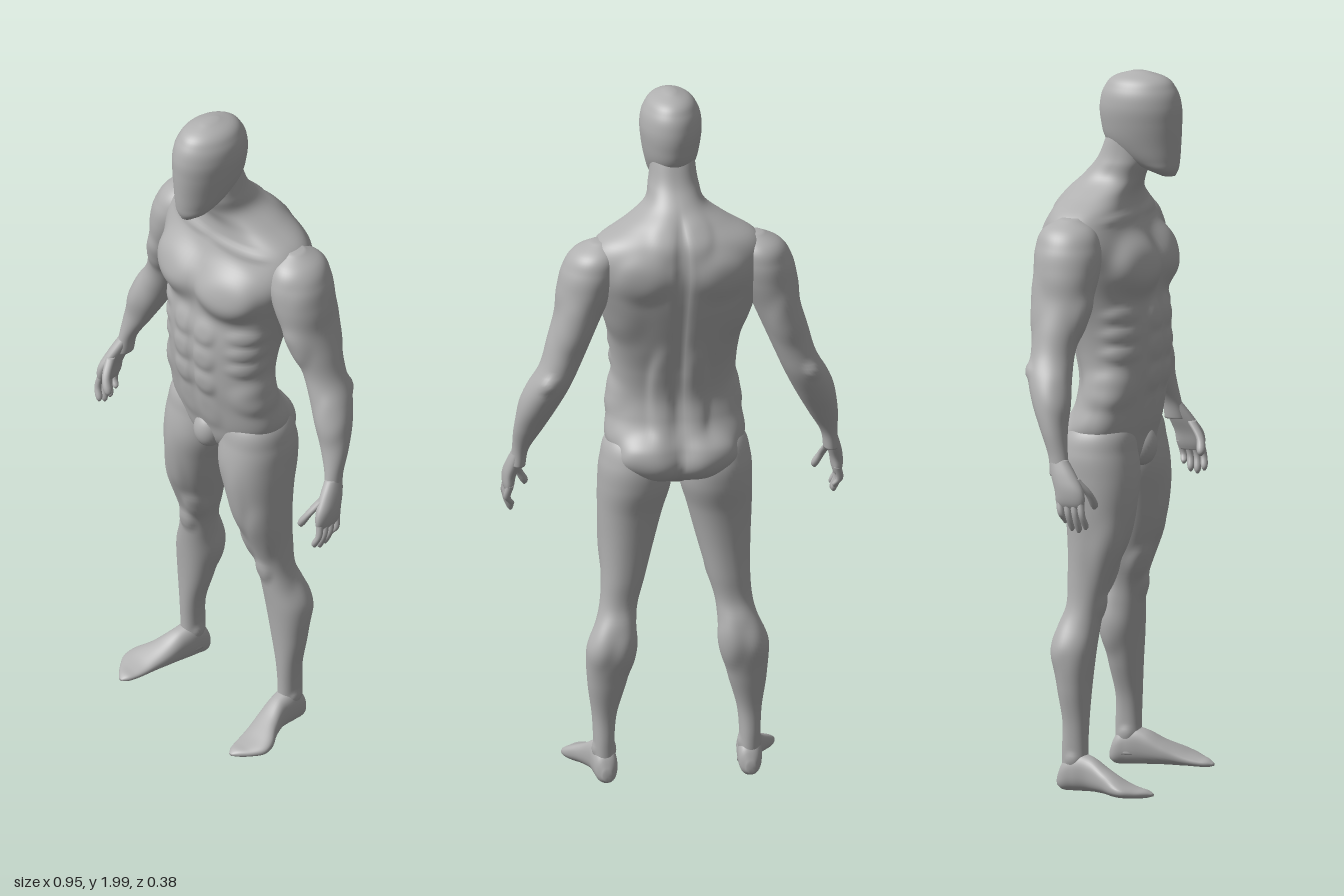
import * as THREE from 'three';

const skin = new THREE.MeshStandardMaterial({ color: 0xb0b0b0 });
skin.name = 'plainGrey';

// Smooth skin over cross-sections [y, xCentre, halfWidth, zFront, zBack], listed upwards.
// n squares the outline; bumps [x, y, z, rx, ry, rz, height] swell or dent it, on both sides of x = 0.
function loft(sections, { n = 2, rows = 40, cols = 40, bumps = [] } = {}) {
  const ys = sections.map(s => s[0]);
  const curve = new THREE.CubicInterpolant(ys, sections.flatMap(s => s.slice(1)), 4, new Float32Array(4));
  const y0 = ys[0], y1 = ys[ys.length - 1], pos = [], index = [];
  const ends = [];
  for (let i = 0; i <= rows; i++) {
    const u = i / rows;
    // Rows crowd gently towards both ends
    const t = 0.5 * u + 0.25 * (1 - Math.cos(Math.PI * u));
    const y = y0 + (y1 - y0) * t;
    const [xc, hw, zf, zb] = curve.evaluate(y);
    const zc = (zf + zb) / 2, w = Math.max(hw, 0.002), d = Math.max((zf - zb) / 2, 0.002);
    if (i === 0 || i === rows) ends.push([xc, y, zc]);
    for (let j = 0; j < cols; j++) {
      const a = (j / cols) * Math.PI * 2, c = Math.cos(a), s = Math.sin(a);
      const dx = w * Math.sign(c) * Math.abs(c) ** (2 / n);
      const dz = d * Math.sign(s) * Math.abs(s) ** (2 / n);
      const x = xc + dx, z = zc + dz, len = Math.hypot(dx, dz) || 1;
      let h = 0;
      for (const [bx, by, bz, rx, ry, rz, amount] of bumps) {
        const q = ((Math.abs(x) - bx) / rx) ** 2 + ((y - by) / ry) ** 2 + ((z - bz) / rz) ** 2;
        h += amount * Math.exp(-q * q);
      }
      pos.push(x + (dx / len) * h, y, z + (dz / len) * h);
    }
  }
  for (let i = 0; i < rows; i++) {
    for (let j = 0; j < cols; j++) {
      const p = i * cols + j, q = i * cols + ((j + 1) % cols);
      index.push(p, p + cols, q, q, p + cols, q + cols);
    }
  }
  const bottom = (rows + 1) * cols, top = bottom + 1;
  pos.push(...ends[0], ...ends[1]);
  for (let j = 0; j < cols; j++) {
    const k = (j + 1) % cols;
    index.push(bottom, j, k, top, rows * cols + k, rows * cols + j);
  }
  const g = new THREE.BufferGeometry();
  g.setAttribute('position', new THREE.Float32BufferAttribute(pos, 3));
  g.setIndex(index);
  g.computeVertexNormals();
  return g;
}

// Mirror image across x = 0, with the faces turned to keep pointing outwards
function mirrored(geometry) {
  const g = geometry.clone().scale(-1, 1, 1), ix = g.index.array;
  for (let i = 0; i < ix.length; i += 3) [ix[i + 1], ix[i + 2]] = [ix[i + 2], ix[i + 1]];
  g.computeVertexNormals();
  return g;
}

export function createModel() {
  const model = new THREE.Group();
  model.name = 'figure';
  const add = (name, geometry) => {
    const mesh = new THREE.Mesh(geometry, skin);
    mesh.name = name;
    model.add(mesh);
    return mesh;
  };
  const addPair = (name, geometry) => {
    add('left' + name, geometry);
    add('right' + name, mirrored(geometry));
  };

  // Featureless head with a narrow jaw
  add('head', loft([
    [1.712, 0, 0.018, 0.165, 0.125], [1.73, 0, 0.043, 0.173, 0.08], [1.755, 0, 0.057, 0.177, 0.025],
    [1.80, 0, 0.071, 0.18, -0.03], [1.86, 0, 0.082, 0.182, -0.05], [1.91, 0, 0.085, 0.18, -0.052],
    [1.955, 0, 0.074, 0.164, -0.038], [1.985, 0, 0.049, 0.133, -0.008], [2.0, 0, 0.012, 0.085, 0.04],
  ], { rows: 48, cols: 48 }));

  // Torso and neck with chest, stomach and back muscles
  const torsoBumps = [
    [0.1, 1.475, 0.1, 0.095, 0.078, 0.1, 0.03],       // chest
    [0.1, 1.605, 0.05, 0.1, 0.014, 0.06, 0.006],      // collarbone
    [0.035, 1.05, 0.1, 0.045, 0.06, 0.08, 0.006],     // lower stomach
    [0.165, 1.13, 0.04, 0.05, 0.05, 0.09, 0.01],      // flank
    [0.18, 1.42, -0.1, 0.08, 0.1, 0.08, 0.01],        // side of back
    [0.11, 1.53, -0.16, 0.07, 0.065, 0.07, 0.012],    // shoulder blade
    [0.045, 1.63, -0.13, 0.04, 0.07, 0.06, 0.008],    // upper back
    [0.045, 1.16, -0.1, 0.036, 0.14, 0.06, 0.014],    // lower back
    [0, 1.4, -0.17, 0.016, 0.26, 0.1, -0.014],        // spine groove
    [0.09, 0.945, -0.12, 0.083, 0.085, 0.09, 0.034],  // buttock
    [0, 1.25, 0.14, 0.01, 0.2, 0.06, -0.005],         // middle line
  ];
  for (let i = 0; i < 3; i++) {
    torsoBumps.push([0.042, 1.325 - i * 0.085, 0.13, 0.037, 0.038, 0.08, 0.009]);  // stomach blocks
    torsoBumps.push([0.155, 1.34 - i * 0.055, 0.07, 0.045, 0.022, 0.06, 0.007]);   // ribs
  }
  add('torso', loft([
    [0.88, 0, 0.035, 0.04, -0.05], [0.92, 0, 0.12, 0.075, -0.11], [1.0, 0, 0.19, 0.095, -0.125],
    [1.08, 0, 0.187, 0.11, -0.095], [1.14, 0, 0.175, 0.123, -0.085], [1.22, 0, 0.173, 0.13, -0.1],
    [1.30, 0, 0.182, 0.13, -0.128], [1.38, 0, 0.2, 0.118, -0.152], [1.46, 0, 0.225, 0.118, -0.172],
    [1.53, 0, 0.25, 0.095, -0.182], [1.58, 0, 0.245, 0.072, -0.177], [1.62, 0, 0.215, 0.058, -0.163],
    [1.66, 0, 0.145, 0.056, -0.135], [1.70, 0, 0.086, 0.07, -0.102], [1.75, 0, 0.069, 0.09, -0.06],
    [1.82, 0, 0.06, 0.09, -0.03],
  ], { n: 2.3, rows: 130, cols: 120, bumps: torsoBumps }));

  // Groin
  const groin = add('groin', new THREE.SphereGeometry(1, 32, 20));
  groin.scale.set(0.043, 0.056, 0.042);
  groin.position.set(0, 0.95, 0.068);

  // Legs
  addPair('Leg', loft([
    [0.04, 0.2, 0.031, -0.01, -0.088], [0.12, 0.203, 0.029, -0.014, -0.088], [0.2, 0.202, 0.034, -0.012, -0.086],
    [0.3, 0.195, 0.054, -0.008, -0.103], [0.4, 0.185, 0.066, 0, -0.119], [0.47, 0.17, 0.056, 0.008, -0.108],
    [0.52, 0.161, 0.052, 0.014, -0.09], [0.6, 0.147, 0.06, 0.036, -0.09], [0.7, 0.135, 0.075, 0.073, -0.094],
    [0.8, 0.124, 0.09, 0.093, -0.106], [0.88, 0.113, 0.101, 0.1, -0.125], [0.95, 0.11, 0.099, 0.09, -0.125],
    [1.02, 0.105, 0.08, 0.07, -0.095], [1.06, 0.1, 0.03, 0.02, -0.04],
  ], { n: 2.15, rows: 100, cols: 56, bumps: [
    [0.16, 0.52, 0.015, 0.028, 0.03, 0.03, 0.008],    // kneecap
    [0.11, 0.6, 0.02, 0.03, 0.05, 0.04, 0.009],       // inner thigh above knee
    [0.185, 0.67, 0.04, 0.035, 0.1, 0.05, 0.007],     // outer thigh
    [0.13, 0.76, 0.085, 0.032, 0.11, 0.05, 0.005],    // front thigh
    [0.135, 0.4, -0.09, 0.04, 0.065, 0.05, 0.007],    // inner calf
    [0.225, 0.42, -0.09, 0.035, 0.06, 0.05, 0.006],   // outer calf
    [0.203, 0.1, -0.05, 0.06, 0.018, 0.02, 0.005],    // ankle bones
  ] }));

  // Feet: lofted heel to toe, then laid flat
  const foot = loft([
    [-0.102, 0.2, 0.012, -0.02, -0.05], [-0.088, 0.2, 0.027, -0.011, -0.085], [-0.05, 0.203, 0.034, -0.01, -0.115],
    [0, 0.208, 0.034, -0.012, -0.108], [0.05, 0.223, 0.042, -0.012, -0.08], [0.09, 0.241, 0.051, -0.01, -0.06],
    [0.12, 0.246, 0.05, -0.01, -0.046], [0.15, 0.24, 0.037, -0.01, -0.036], [0.175, 0.233, 0.021, -0.011, -0.03],
    [0.19, 0.23, 0.006, -0.015, -0.022],
  ], { n: 2.3, rows: 50, cols: 40 }).rotateX(Math.PI / 2);
  addPair('Foot', foot);

  // Arms, shoulder to wrist
  addPair('Arm', loft([
    [0.94, 0.436, 0.021, 0.026, -0.034], [0.99, 0.43, 0.023, 0.015, -0.04], [1.06, 0.41, 0.041, 0.005, -0.07],
    [1.13, 0.385, 0.054, 0.003, -0.103], [1.2, 0.355, 0.058, -0.004, -0.127], [1.26, 0.327, 0.056, -0.006, -0.13],
    [1.33, 0.302, 0.061, 0.008, -0.134], [1.4, 0.277, 0.066, 0.026, -0.14], [1.48, 0.252, 0.076, 0.038, -0.15],
    [1.54, 0.237, 0.077, 0.034, -0.15], [1.59, 0.225, 0.062, 0.008, -0.13], [1.617, 0.212, 0.025, -0.035, -0.085],
  ], { rows: 80, cols: 48, bumps: [
    [0.32, 1.5, -0.05, 0.05, 0.075, 0.09, 0.006],     // shoulder
    [0.29, 1.35, 0.015, 0.045, 0.06, 0.05, 0.009],    // front of upper arm
    [0.3, 1.38, -0.13, 0.05, 0.075, 0.05, 0.008],     // back of upper arm
    [0.41, 1.16, -0.02, 0.04, 0.07, 0.05, 0.006],     // outer forearm
    [0.37, 1.215, -0.13, 0.022, 0.022, 0.03, 0.008],  // elbow
  ] }));

  // Hands
  addPair('Palm', loft([
    [0.85, 0.456, 0.008, 0.066, 0.004], [0.865, 0.457, 0.014, 0.074, -0.006], [0.9, 0.455, 0.018, 0.072, -0.012],
    [0.94, 0.445, 0.02, 0.048, -0.026], [0.985, 0.433, 0.018, 0.015, -0.036],
  ], { n: 2.4, rows: 20, cols: 28 }));
  const digit = (name, [bx, by, bz], [mx, my, mz], [tx, ty, tz], r) => addPair(name, loft([
    [ty, tx, r * 0.3, tz + r * 0.3, tz - r * 0.3], [ty + 0.008, tx, r * 0.85, tz + r * 0.85, tz - r * 0.85],
    [my, mx, r, mz + r, mz - r], [by, bx, r * 1.15, bz + r * 1.15, bz - r * 1.15],
  ], { rows: 16, cols: 14 }));
  [0.795, 0.785, 0.79, 0.81].forEach((tip, i) => {
    const z = 0.062 - i * 0.02;
    digit('Finger' + (i + 1), [0.456, 0.875, z], [0.462, 0.835, z + 0.008], [0.45, tip, z + 0.014], 0.0095);
  });
  digit('Thumb', [0.442, 0.935, 0.04], [0.422, 0.89, 0.075], [0.404, 0.845, 0.084], 0.0115);

  return model;
}
